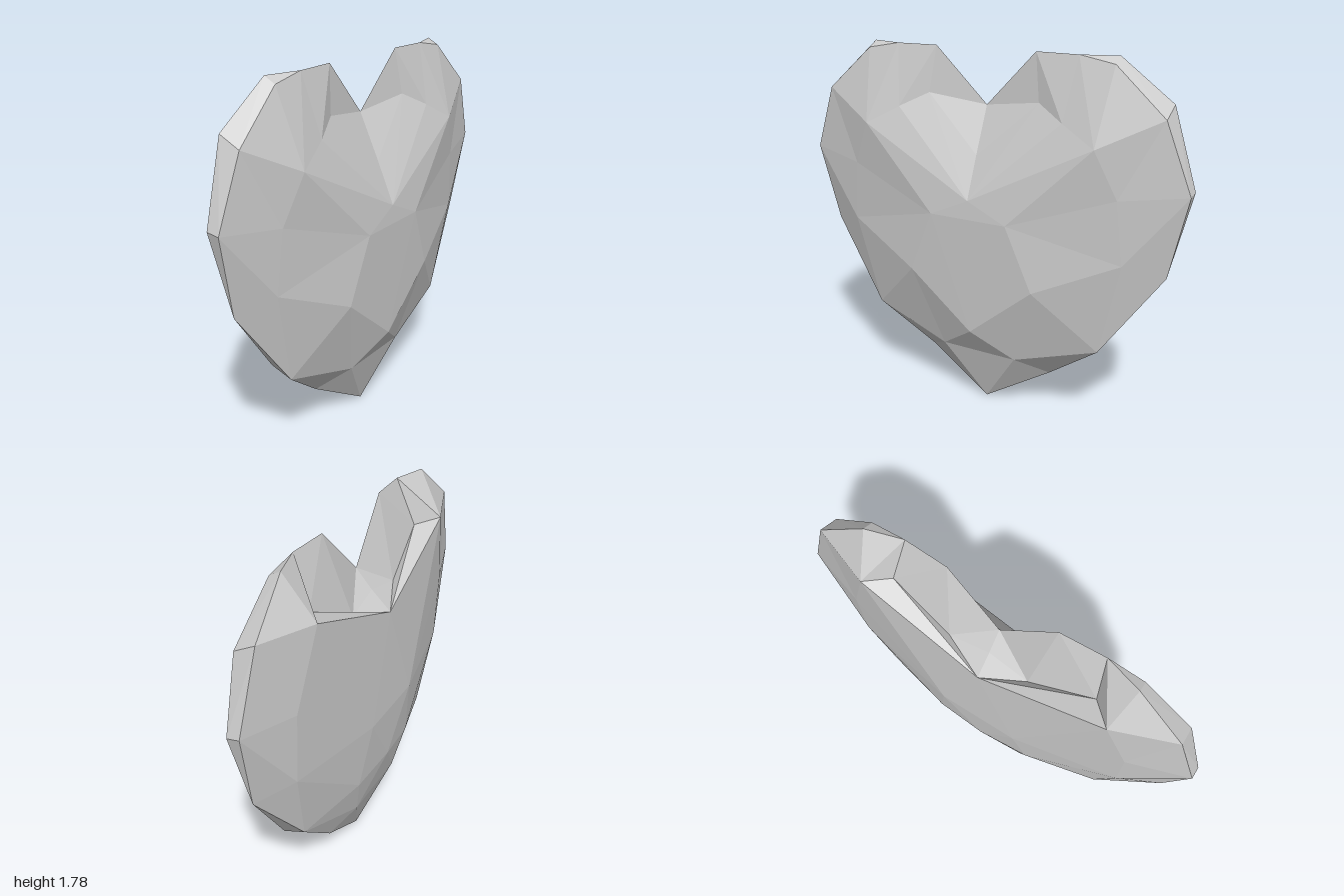
import * as THREE from 'three';

// Rim of one lobe, from the notch round to the tip: z, then y and x of the near edge,
// then y and x of the far edge. Where both are equal the rim is a sharp edge.
const RIM = [
  [0, 1.52, 0, 1.52, 0], [0.26, 1.78, 0.02, 1.78, 0.02], [0.47, 1.78, 0.03, 1.78, 0.03],
  [0.64, 1.75, 0.035, 1.78, -0.02], [0.88, 1.54, 0.05, 1.59, -0.05], [1, 1.22, 0.03, 1.23, -0.03],
  [0.91, 0.83, 0, 0.83, 0], [0.62, 0.42, 0.05, 0.46, -0.06], [0.34, 0.205, -0.03, 0.205, -0.03],
  [0, 0, 0, 0, 0],
];

// Each face has a ring of facet corners (x, y, z), one per rim point,
// and three crown points that close the middle
const SIDES = [
  {
    rimAt: 1, sign: 1,
    ring: [
      [0.1, 1.3, 0], [0.045, 1.56, 0.29], [0.1, 1.49, 0.43], [0.14, 1.4, 0.6], [0.14, 1.4, 0.6],
      [0.1, 1.18, 0.7], [0.085, 0.88, 0.73], [0.175, 0.7, 0.33], [0.085, 0.29, 0.2], [0.085, 0.29, 0],
    ],
    crown: [[0.185, 1.1, 0], [0.19, 1.01, 0.2], [0.17, 0.43, 0]],
  },
  {
    rimAt: 3, sign: -1,
    ring: [
      [-0.08, 1.43, 0], [-0.09, 1.39, 0.2], [-0.055, 1.55, 0.5], [-0.15, 1.57, 0.6], [-0.15, 1.57, 0.6],
      [-0.115, 1.2, 0.72], [-0.1, 0.85, 0.72], [-0.155, 0.51, 0.26], [-0.11, 0.3, 0.2], [-0.11, 0.3, 0],
    ],
    crown: [[-0.175, 1.34, 0], [-0.195, 0.83, 0.2], [-0.18, 0.54, 0]],
  },
];
// Crown point that each ring corner leads to
const CROWN_OF = [0, 0, 0, 0, 1, 1, 1, 1, 2, 2];
// Rim spans whose facets split along the other diagonal
const CROSSED = [6, 8];

const same = (a, b) => a.every((v, i) => v === b[i]);

function heartGeometry() {
  const pos = [];
  const tri = (a, b, c, flip) => {
    if (same(a, b) || same(b, c) || same(a, c)) return;
    pos.push(...a, ...(flip ? c : b), ...(flip ? b : c));
  };
  // Strip of facets between two rows of points
  const strip = (outer, inner, flip, crossed = []) => {
    for (let i = 0; i < outer.length - 1; i++) {
      const cross = crossed.includes(i);
      tri(outer[i], outer[i + 1], cross ? inner[i] : inner[i + 1], flip);
      tri(cross ? outer[i + 1] : outer[i], inner[i + 1], inner[i], flip);
    }
  };

  for (const lobe of [1, -1]) {
    const mirror = ([x, y, z]) => [x, y, z * lobe];
    const edges = SIDES.map((s) => RIM.map((p) => mirror([p[s.rimAt + 1], p[s.rimAt], p[0]])));

    // Broad faces
    SIDES.forEach((s, k) => {
      const flip = s.sign * lobe < 0;
      const ring = s.ring.map(mirror);
      const crown = s.crown.map(mirror);
      const [top, side, low] = crown;
      const middle = [side[0], side[1], 0];
      strip(edges[k], ring, flip, CROSSED);
      strip(ring, CROWN_OF.map((c) => crown[c]), flip);
      tri(top, side, middle, flip);
      tri(side, low, middle, flip);
    });

    // Narrow band round the rim
    strip(edges[1], edges[0], lobe < 0);
  }

  const geo = new THREE.BufferGeometry();
  geo.setAttribute('position', new THREE.Float32BufferAttribute(pos, 3));
  geo.computeVertexNormals();
  return geo;
}

export function createModel() {
  const group = new THREE.Group();
  group.name = 'facetedHeart';
  const material = new THREE.MeshStandardMaterial({ color: 0xcccccc, flatShading: true });
  const heart = new THREE.Mesh(heartGeometry(), material);
  heart.name = 'heart';
  group.add(heart);
  return group;
}
